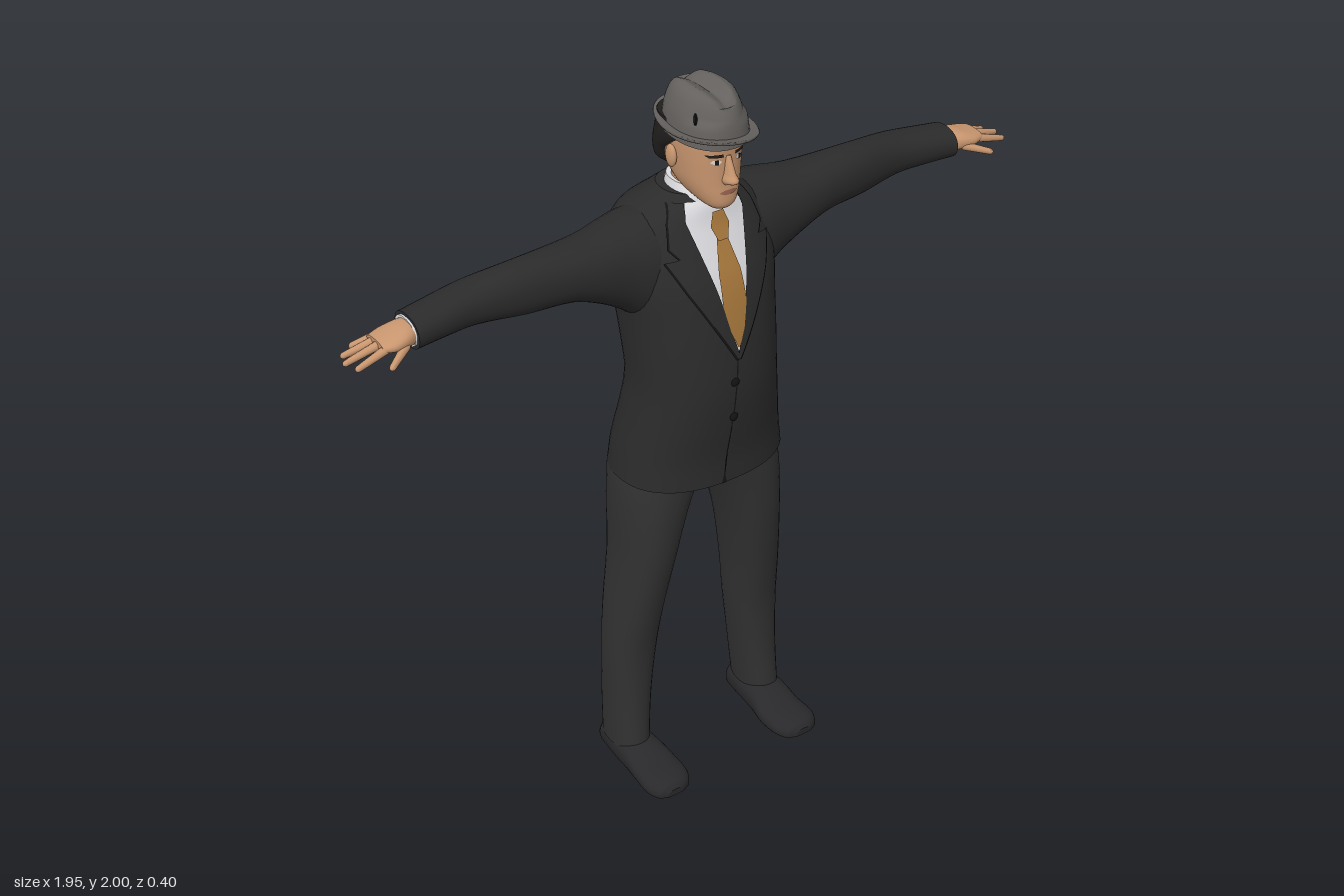
import * as THREE from 'three';

const mat = (name, color) => Object.assign(new THREE.MeshStandardMaterial({ color }), { name });
const M = {
  jacket: mat('jacket charcoal', 0x2b2b2b), trousers: mat('trouser grey', 0x313132),
  shoe: mat('shoe black', 0x29282a), skin: mat('skin', 0xc8966f), shirt: mat('shirt white', 0xdcdce0),
  tie: mat('tie ochre', 0xa8783c), hair: mat('hair black', 0x211f1e), hat: mat('hat grey', 0x64615e),
  dark: mat('seam black', 0x151414), lips: mat('lip brown', 0x9c6450),
};

// Smooth interpolation of cross-sections [pos, u0, u1, v0, v1]
function sample(secs, p) {
  let i = 0;
  while (i < secs.length - 2 && p > secs[i + 1][0]) i++;
  const a = secs[i], b = secs[i + 1], h = b[0] - a[0], t = (p - a[0]) / h;
  const slope = (k, c) => {
    const q = secs[Math.max(0, k - 1)], r = secs[Math.min(secs.length - 1, k + 1)];
    return (r[c] - q[c]) / (r[0] - q[0]);
  };
  return a.map((_, c) => c === 0 ? p :
    (2 * t ** 3 - 3 * t * t + 1) * a[c] + (t ** 3 - 2 * t * t + t) * h * slope(i, c) +
    (3 * t * t - 2 * t ** 3) * b[c] + (t ** 3 - t * t) * h * slope(i + 1, c));
}

// Closed superellipse loft. Axis y: u=z v=x; axis x: u=y v=z; axis z: u=x v=y
function loft(secs, axis, power = 2.3, n = 32, sub = 4) {
  const pos = [], idx = [], rings = [];
  for (let i = 0; i < secs.length - 1; i++)
    for (let k = 0; k < sub; k++) rings.push(sample(secs, secs[i][0] + (secs[i + 1][0] - secs[i][0]) * k / sub));
  rings.push(secs[secs.length - 1]);
  const order = { x: [0, 1, 2], y: [2, 0, 1], z: [1, 2, 0] }[axis];
  const addRing = ([p, u0, u1, v0, v1], s) => {
    for (let j = 0; j < n; j++) {
      const a = j / n * Math.PI * 2, e = 2 / power, c = Math.cos(a), d = Math.sin(a);
      const q = [p, (u0 + u1) / 2 + s * (u1 - u0) / 2 * Math.sign(c) * Math.abs(c) ** e,
        (v0 + v1) / 2 + s * (v1 - v0) / 2 * Math.sign(d) * Math.abs(d) ** e];
      pos.push(...order.map(k => q[k]));
    }
  };
  const last = rings[rings.length - 1];
  addRing(rings[0], 0); addRing(rings[0], 1);
  rings.forEach(r => addRing(r, 1));
  addRing(last, 1); addRing(last, 0);
  const total = pos.length / 3 / n;
  for (let i = 0; i < total - 1; i++) {
    if (i === 1 || i === total - 3) continue;
    for (let j = 0; j < n; j++) {
      const a = i * n + j, b = i * n + (j + 1) % n;
      if (i > 0) idx.push(a, b, b + n);
      else idx.push(a, b + n, a + n);
      if (i > 0 && i < total - 2) idx.push(a, b + n, a + n);
    }
  }
  return finish(pos, idx);
}

function finish(pos, idx) {
  const g = new THREE.BufferGeometry();
  g.setAttribute('position', new THREE.Float32BufferAttribute(pos, 3));
  g.setIndex(idx);
  g.computeVertexNormals();
  return g;
}

// Move vertices by a rule
function reshape(g, rule) {
  const p = g.attributes.position, v = new THREE.Vector3();
  for (let i = 0; i < p.count; i++) { v.fromBufferAttribute(p, i); rule(v); p.setXYZ(i, v.x, v.y, v.z); }
  g.computeVertexNormals();
  return g;
}

// Thin panel following the front (side 1) or back (side -1) of a vertical loft; rows [y, x0, x1]
function panel(body, rows, off, side = 1, power = 2.3) {
  const pos = [], idx = [], cols = 8, sub = 5, list = [];
  rows.forEach((r, i) => {
    const s = rows[i + 1];
    if (!s) list.push(r);
    else for (let k = 0; k < sub; k++) list.push(r.map((v, c) => v + (s[c] - v) * k / sub));
  });
  list.forEach(([y, x0, x1], i) => {
    const [, z0, z1, b0, b1] = sample(body, y);
    for (let j = 0; j <= cols; j++) {
      const x = x0 + (x1 - x0) * j / cols, f = Math.min(1, Math.abs((x - (b0 + b1) / 2) / ((b1 - b0) / 2)));
      pos.push(x, y, (z0 + z1) / 2 + side * ((z1 - z0) / 2 * (1 - f ** power) ** (1 / power) + off));
      if (i && j) {
        const d = i * (cols + 1) + j, c = d - 1, b = d - cols - 1, a = b - 1;
        side > 0 ? idx.push(a, b, d, a, d, c) : idx.push(a, d, b, a, c, d);
      }
    }
  });
  return finish(pos, idx);
}

function mirrored(g) {
  const m = g.clone().scale(-1, 1, 1), ix = m.index.array;
  for (let i = 0; i < ix.length; i += 3) [ix[i], ix[i + 1]] = [ix[i + 1], ix[i]];
  return m;
}

const TORSO = [[0.925, -0.185, 0.16, -0.235, 0.235], [1.0, -0.18, 0.16, -0.225, 0.225], [1.1, -0.16, 0.172, -0.208, 0.208],
  [1.2, -0.148, 0.18, -0.195, 0.195], [1.3, -0.165, 0.175, -0.197, 0.197], [1.4, -0.185, 0.162, -0.203, 0.203],
  [1.5, -0.195, 0.14, -0.213, 0.213], [1.58, -0.195, 0.108, -0.208, 0.208], [1.64, -0.18, 0.083, -0.183, 0.183],
  [1.69, -0.128, 0.068, -0.118, 0.118], [1.715, -0.1, 0.05, -0.088, 0.088]];
const ARM = [[0.08, 1.36, 1.67, -0.16, 0.08], [0.17, 1.385, 1.668, -0.155, 0.075], [0.23, 1.43, 1.662, -0.135, 0.066],
  [0.3, 1.475, 1.655, -0.11, 0.062], [0.38, 1.508, 1.655, -0.09, 0.055], [0.5, 1.515, 1.655, -0.075, 0.04],
  [0.63, 1.525, 1.635, -0.092, 0.02], [0.72, 1.527, 1.622, -0.09, 0.025], [0.802, 1.527, 1.612, -0.083, 0.032]];
const LEG = [[0.05, -0.11, 0.05, 0.165, 0.268], [0.2, -0.115, 0.04, 0.15, 0.267], [0.36, -0.115, 0.042, 0.13, 0.267],
  [0.5, -0.12, 0.065, 0.118, 0.258], [0.68, -0.125, 0.095, 0.09, 0.243], [0.82, -0.14, 0.105, 0.05, 0.24],
  [0.93, -0.15, 0.105, 0, 0.232], [1.0, -0.15, 0.105, -0.01, 0.21]];
const SHOE = [[-0.112, 0.18, 0.25, -0.02, 0.05], [-0.09, 0.165, 0.26, -0.02, 0.075], [0, 0.155, 0.27, -0.02, 0.075],
  [0.05, 0.15, 0.272, -0.02, 0.07], [0.1, 0.143, 0.275, -0.02, 0.05], [0.16, 0.146, 0.278, -0.02, 0.043],
  [0.195, 0.165, 0.262, -0.02, 0.034], [0.207, 0.19, 0.24, -0.01, 0.02]];
const HEAD = [[1.698, 0.05, 0.12, -0.028, 0.028], [1.71, 0.02, 0.13, -0.042, 0.042], [1.735, -0.04, 0.132, -0.06, 0.06],
  [1.765, -0.07, 0.13, -0.072, 0.072], [1.8, -0.085, 0.13, -0.078, 0.078], [1.84, -0.088, 0.13, -0.082, 0.082],
  [1.88, -0.088, 0.13, -0.083, 0.083], [1.92, -0.08, 0.12, -0.078, 0.078]];

export function createModel() {
  const root = new THREE.Group();
  const add = (name, g, m) => {
    const mesh = new THREE.Mesh(g, m);
    mesh.name = name;
    root.add(mesh);
    return mesh;
  };
  const pair = (name, g, m) => { add(name + 'Left', g, m); add(name + 'Right', mirrored(g), m); };

  // Suit
  add('jacketBody', loft(TORSO, 'y', 2.3, 56), M.jacket);
  pair('sleeve', loft(ARM, 'x', 2.2), M.jacket);
  pair('trouserLeg', loft(LEG, 'y', 2.2), M.trousers);
  pair('shoe', reshape(loft(SHOE, 'z', 2.3), v => { v.y = Math.max(0, v.y); }), M.shoe);

  // Shirt front, tie and lapels laid over the chest
  add('shirtFront', panel(TORSO, [[1.32, -0.004, 0.004], [1.4, -0.025, 0.025], [1.5, -0.05, 0.05], [1.6, -0.075, 0.075],
    [1.66, -0.088, 0.088], [1.7, -0.07, 0.07]], 0.003), M.shirt);
  add('tieBlade', panel(TORSO, [[1.335, -0.003, 0.003], [1.38, -0.02, 0.02], [1.45, -0.035, 0.035], [1.53, -0.032, 0.032],
    [1.61, -0.015, 0.015]], 0.009), M.tie);
  add('tieKnot', panel(TORSO, [[1.605, -0.014, 0.014], [1.64, -0.027, 0.027], [1.675, -0.015, 0.015]], 0.014), M.tie);
  const lapel = [[1.3, -0.004, 0.004], [1.4, 0.022, 0.06], [1.5, 0.046, 0.115], [1.575, 0.064, 0.15], [1.58, 0.065, 0.115],
    [1.605, 0.071, 0.135], [1.66, 0.084, 0.122], [1.7, 0.075, 0.1]];
  pair('lapelEdge', panel(TORSO, lapel.map(([y, a, b]) => [y - 0.003, a, b + 0.004]), 0.005), M.dark);
  pair('lapel', panel(TORSO, lapel, 0.008), M.jacket);

  // Front closure, buttons and back vent
  add('frontSeam', panel(TORSO, [[0.926, -0.036, -0.022], [0.95, -0.03, -0.026], [1.3, -0.003, 0.001]], 0.002), M.dark);
  for (const y of [1.235, 1.13]) {
    const button = add('button', new THREE.SphereGeometry(0.012, 16, 10), M.dark);
    button.scale.z = 0.4;
    button.position.set(-0.012, y, sample(TORSO, y)[2] + 0.002);
  }
  add('backVent', panel(TORSO, [[0.926, -0.009, 0.009], [1.1, -0.002, 0.002]], 0.002, -1), M.dark);

  // Neck and shirt collar
  add('neck', loft([[1.62, -0.07, 0.05, -0.055, 0.055], [1.78, -0.065, 0.06, -0.056, 0.056]], 'y'), M.skin);
  add('shirtCollar', loft([[1.66, -0.09, 0.072, -0.082, 0.082], [1.7, -0.086, 0.068, -0.074, 0.074],
    [1.735, -0.08, 0.05, -0.064, 0.064]], 'y'), M.shirt);

  // Head and face
  add('head', loft(HEAD, 'y', 2.3, 40), M.skin);
  add('nose', loft([[1.768, 0.1, 0.138, -0.013, 0.013], [1.782, 0.1, 0.165, -0.018, 0.018], [1.8, 0.1, 0.156, -0.013, 0.013],
    [1.845, 0.1, 0.134, -0.009, 0.009]], 'y', 2, 20), M.skin);
  const ear = new THREE.SphereGeometry(0.03, 16, 12).scale(0.35, 1, 0.65).translate(0.086, 1.82, 0.015);
  pair('ear', ear, M.skin);
  pair('eyeWhite', panel(HEAD, [[1.826, 0.026, 0.036], [1.832, 0.019, 0.046], [1.838, 0.026, 0.04]], 0.002), M.shirt);
  pair('iris', panel(HEAD, [[1.826, 0.028, 0.037], [1.839, 0.028, 0.037]], 0.004), M.dark);
  pair('eyebrow', panel(HEAD, [[1.845, 0.016, 0.048], [1.853, 0.018, 0.058]], 0.004), M.hair);
  add('mouth', panel(HEAD, [[1.741, -0.012, 0.012], [1.747, -0.026, 0.026], [1.753, -0.013, 0.013]], 0.002), M.lips);
  add('hair', loft([[1.755, -0.088, -0.05, -0.045, 0.045], [1.78, -0.095, -0.035, -0.072, 0.072],
    [1.82, -0.098, -0.008, -0.084, 0.084], [1.85, -0.1, 0.045, -0.088, 0.088], [1.872, -0.1, 0.085, -0.088, 0.088],
    [1.91, -0.095, 0.09, -0.085, 0.085]], 'y', 2.6), M.hair);

  // Hat: creased crown over a brim that curls up front and back
  const crown = loft([[1.875, -0.09, 0.158, -0.092, 0.092], [1.93, -0.083, 0.15, -0.085, 0.085],
    [1.965, -0.072, 0.135, -0.073, 0.073], [1.988, -0.055, 0.115, -0.058, 0.058], [1.997, -0.03, 0.09, -0.04, 0.04],
    [2.0, 0.0, 0.06, -0.018, 0.018]], 'y', 2.2, 40);
  add('hatCrown', reshape(crown, v => {
    if (v.y > 1.975) v.y -= 0.022 * Math.max(0, 1 - Math.abs(v.x) / 0.035);
    if (v.y > 1.93 && v.z > 0.06) v.x *= 1 - (v.z - 0.06) * 2.5;
  }), M.hat);
  const brimProfile = [[0.72, -0.003], [0.98, -0.003], [1, 0.001], [0.98, 0.005], [0.72, 0.009]].map(p => new THREE.Vector2(...p));
  add('hatBrim', reshape(new THREE.LatheGeometry(brimProfile, 48), v => {
    const { x, z } = v;
    v.set(x * 0.112, v.y + 1.873 + 0.03 * z * z + 0.017 * x * x - 0.012 * x, 0.037 + z * 0.152);
  }), M.hat);
  const feather = add('hatFeather', new THREE.SphereGeometry(0.016, 12, 8), M.dark);
  feather.scale.set(0.3, 0.9, 1);
  feather.position.set(-0.068, 1.942, 0.09);
  feather.rotation.y = -0.6;

  // Cuffs, hands and fingers
  pair('shirtCuff', loft([[0.78, 1.533, 1.606, -0.075, 0.024], [0.807, 1.535, 1.604, -0.073, 0.022]], 'x'), M.shirt);
  pair('palm', loft([[0.78, 1.542, 1.598, -0.06, 0.008], [0.82, 1.545, 1.6, -0.062, 0.028], [0.86, 1.55, 1.59, -0.065, 0.034],
    [0.892, 1.556, 1.582, -0.056, 0.024]], 'x'), M.skin);
  const fingers = [[0.88, 1.567, 0.015, 0.962, 1.545, 0.022], [0.88, 1.569, -0.012, 0.972, 1.542, -0.02],
    [0.878, 1.567, -0.036, 0.958, 1.538, -0.058], [0.868, 1.565, -0.054, 0.922, 1.54, -0.082], [0.83, 1.562, 0.02, 0.893, 1.542, 0.06]];
  fingers.forEach(([ax, ay, az, bx, by, bz], i) => {
    const a = new THREE.Vector3(ax, ay, az), d = new THREE.Vector3(bx, by, bz).sub(a), len = d.length();
    const g = new THREE.CapsuleGeometry(0.01, len - 0.01, 6, 12);
    reshape(g, v => { const k = 1.15 - 0.35 * (v.y / len + 0.5); v.x *= k; v.z *= k; });
    g.applyQuaternion(new THREE.Quaternion().setFromUnitVectors(new THREE.Vector3(0, 1, 0), d.clone().normalize()));
    g.translate(...a.addScaledVector(d, 0.5).toArray());
    pair(i === 4 ? 'thumb' : 'finger', g, M.skin);
  });
  return root;
}
